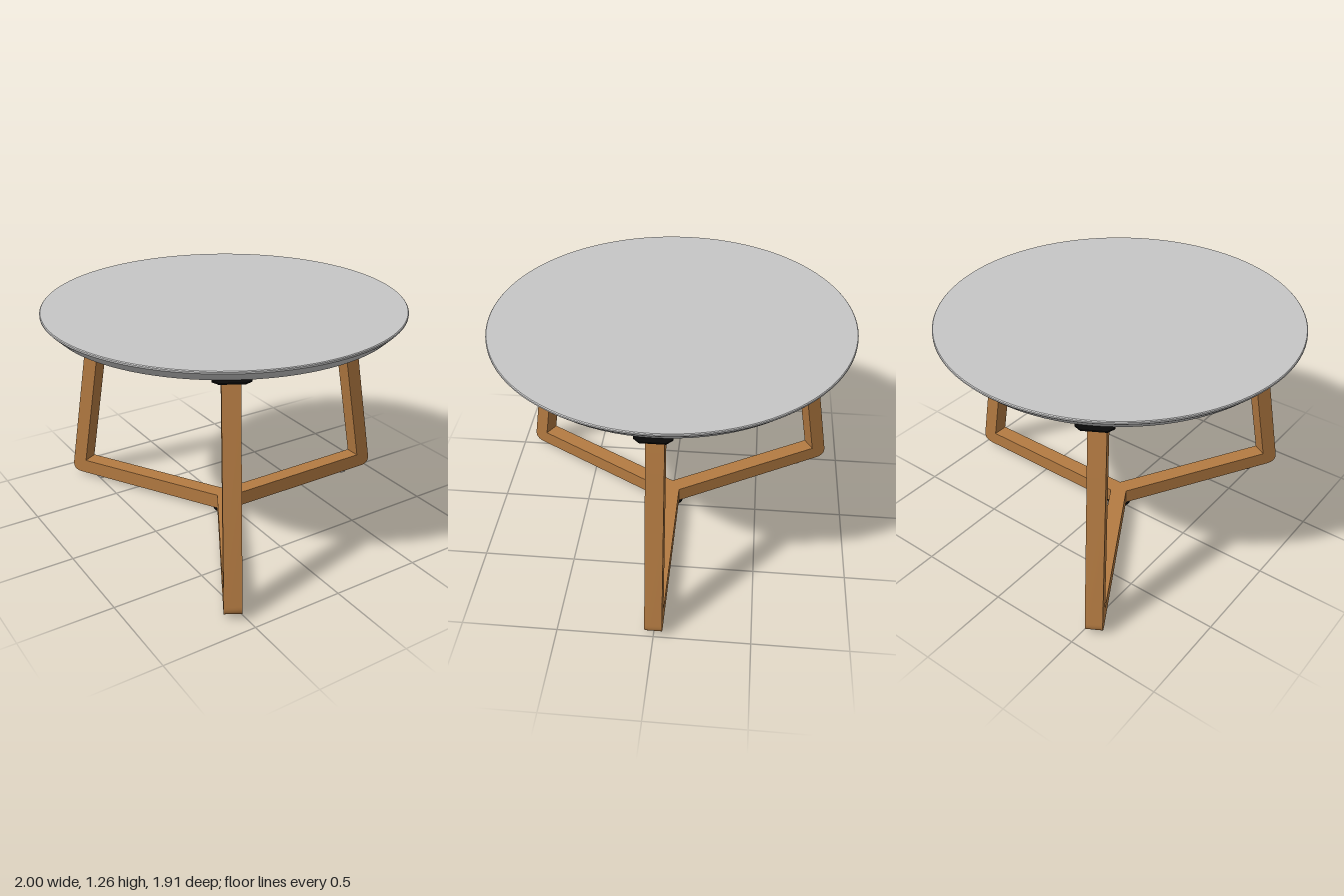
import * as THREE from 'three';
import { toCreasedNormals } from 'three/addons/utils/BufferGeometryUtils.js';

const CENTRE_X = -0.043;
const LEG_WIDTH = 0.09;

function material(name, color) {
  const m = new THREE.MeshStandardMaterial({ color });
  m.name = name;
  return m;
}

function mesh(name, geometry, mat, x = 0, y = 0, z = 0) {
  const m = new THREE.Mesh(geometry, mat);
  m.name = name;
  m.position.set(x, y, z);
  return m;
}

// Side profile of one leg: floor rail, rounded foot corner, leaning post
function legGeometry() {
  const s = new THREE.Shape();
  s.moveTo(LEG_WIDTH / 2 / Math.sqrt(3), 0.02);
  s.lineTo(0.985, 0.02);
  s.quadraticCurveTo(1.053, 0.02, 1.041, 0.08);
  s.lineTo(0.83, 1.205);
  s.lineTo(0.742, 1.205);
  s.lineTo(0.949, 0.105);
  s.lineTo(LEG_WIDTH / 2 / Math.sqrt(3), 0.105);
  s.closePath();
  const g = new THREE.ExtrudeGeometry(s, { depth: LEG_WIDTH, bevelEnabled: false, curveSegments: 8 });
  g.translate(0, 0, -LEG_WIDTH / 2);
  return toCreasedNormals(g, 0.5);
}

// Thin mounting plate with clipped corners
function plateGeometry(a, b, c, thickness) {
  const s = new THREE.Shape([
    [a - c, -b], [a, c - b], [a, b - c], [a - c, b],
    [c - a, b], [-a, b - c], [-a, c - b], [c - a, -b],
  ].map(([x, y]) => new THREE.Vector2(x, y)));
  const g = new THREE.ExtrudeGeometry(s, { depth: thickness, bevelEnabled: false });
  return g.rotateX(-Math.PI / 2);
}

export function createModel() {
  const wood = material('wood', 0xb47b42);
  const topGrey = material('table top grey', 0xc6c6c6);
  const black = material('black metal', 0x080808);
  const glide = material('glide grey', 0xcccccc);

  const table = new THREE.Group();
  table.name = 'table';
  const body = new THREE.Group();
  body.name = 'tableBody';
  body.position.x = CENTRE_X;
  table.add(body);

  // Round top with an undercut edge
  const profile = [
    [0, 1.2], [0.907, 1.2], [0.951, 1.243], [0.957, 1.25], [0.957, 1.258], [0.953, 1.262], [0, 1.262],
  ].map(([x, y]) => new THREE.Vector2(x, y));
  const top = toCreasedNormals(new THREE.LatheGeometry(profile, 96), 0.4);
  body.add(mesh('tableTop', top, topGrey));

  // Three identical legs around the centre
  const leg = legGeometry();
  const plate = plateGeometry(0.122, 0.09, 0.03, 0.007);
  const foot = new THREE.CylinderGeometry(0.028, 0.028, 0.022, 24);
  for (let i = 0; i < 3; i++) {
    const g = new THREE.Group();
    g.name = 'legAssembly' + (i + 1);
    g.rotation.y = (i * Math.PI * 2) / 3;
    g.add(
      mesh('leg', leg, wood),
      mesh('mountingPlate', plate, black, 0.822, 1.195, 0),
      mesh('glide', foot, glide, 0.863, 0.011, 0),
    );
    body.add(g);
  }

  // Triangular core where the rails meet, with a plate beneath
  const core = new THREE.CylinderGeometry(LEG_WIDTH / Math.sqrt(3), LEG_WIDTH / Math.sqrt(3), 0.085, 3, 1, false, -Math.PI / 2);
  body.add(mesh('railJoint', core, wood, 0, 0.0625, 0));
  body.add(mesh('jointPlate', new THREE.CylinderGeometry(0.067, 0.067, 0.007, 24), black, 0, 0.0175, 0));

  return table;
}
